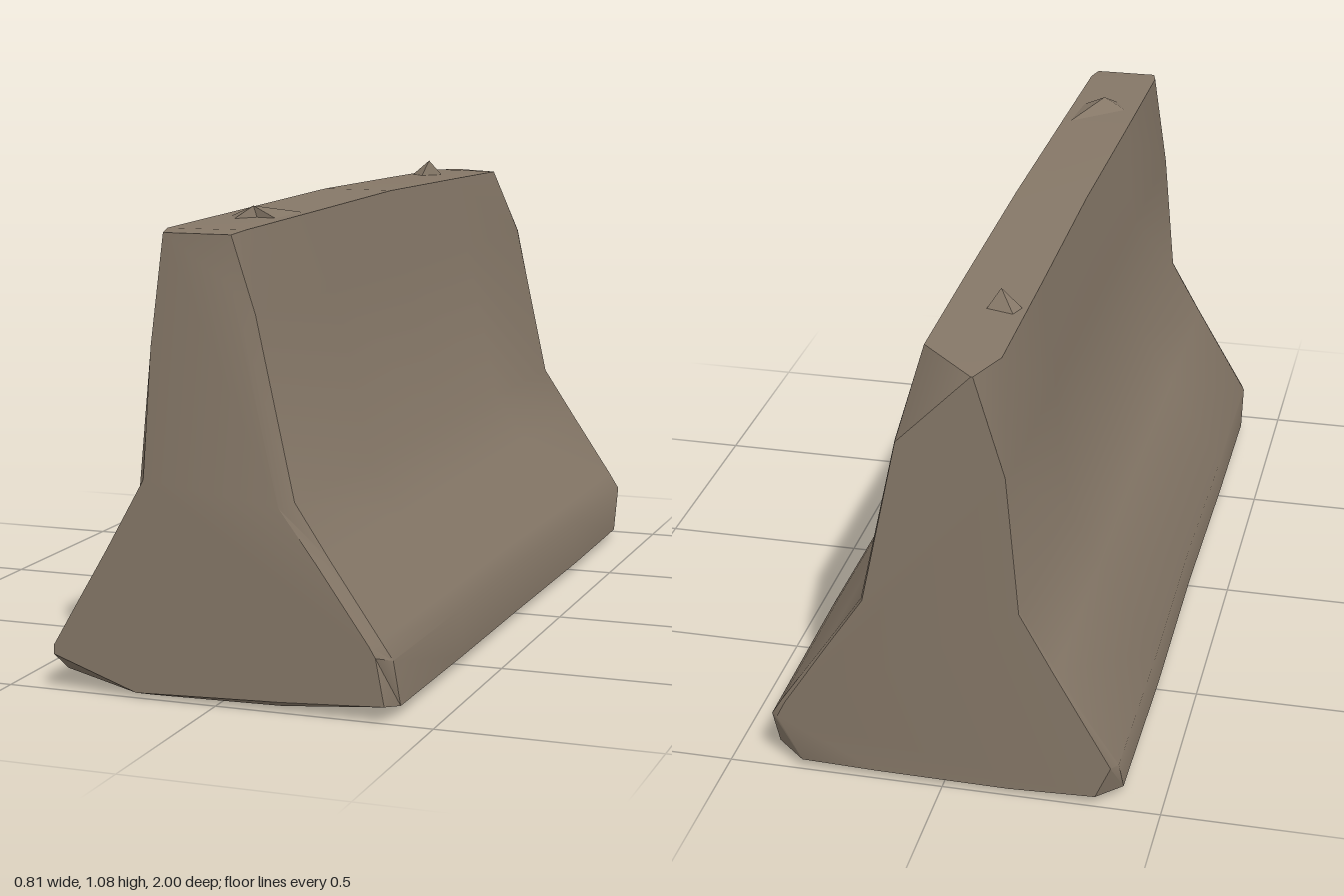
import * as THREE from 'three';
import { toCreasedNormals } from 'three/addons/utils/BufferGeometryUtils.js';

// Outline of the barrier, counter-clockwise seen from the front.
// [x, y, z of front rim, z of back rim, front cap x, y, back cap x, y]
const OUTLINE = [
  [-0.405, 0.02, 0.9, -0.94, -0.39, 0.08, -0.35, 0.02],
  [-0.15, 0.005, 0.985, -0.985, -0.19, 0.01, -0.15, 0.012],
  [0.15, 0.01, 0.985, -0.985, 0.15, 0.022, 0.15, 0.015],
  [0.403, 0.02, 0.93, -0.93, 0.39, 0.035, 0.33, 0.02],
  [0.4, 0.13, 0.97, -0.985, 0.37, 0.14, 0.385, 0.13],
  [0.375, 0.17, 0.975, -0.985, 0.355, 0.165, 0.365, 0.17],
  [0.26, 0.34, 0.98, -0.985, 0.235, 0.335, 0.255, 0.34],
  [0.18, 0.46, 0.98, -0.985, 0.15, 0.45, 0.175, 0.46],
  [0.093, 0.86, 0.98, -0.982, 0.045, 0.92, 0.09, 0.86],
  [0.055, 1.035, 0.94, -0.87, 0.047, 1.03, -0.078, 1.03],
  [-0.122, 1.035, 0.95, -0.9, -0.11, 1.03, -0.082, 1.03],
  [-0.153, 0.79, 0.975, -0.982, -0.143, 0.78, -0.15, 0.8],
  [-0.18, 0.47, 0.985, -0.985, -0.165, 0.49, -0.178, 0.47],
  [-0.26, 0.33, 0.985, -0.985, -0.255, 0.33, -0.255, 0.33],
  [-0.4, 0.1, 0.97, -0.975, -0.39, 0.1, -0.385, 0.1],
];

function createBarrier() {
  // Middle sections swell very slightly along the length
  const middle = (z, rise, swell) =>
    OUTLINE.map(([x, y]) => [x * swell, y > 1 ? y + rise : y - (y < 0.05 ? rise * 0.5 : 0), z]);
  const rings = [
    OUTLINE.map((p) => [p[6], p[7], -0.995]),
    OUTLINE.map((p) => [p[0], p[1], p[3]]),
    middle(-0.5, 0.006, 1.005),
    middle(0, 0.013, 0.99),
    middle(0.5, 0.006, 1),
    OUTLINE.map((p) => [p[0], p[1], p[2]]),
    OUTLINE.map((p) => [p[4], p[5], 1]),
  ];
  const n = OUTLINE.length;
  const pos = [];
  const tri = (a, b, c) => pos.push(...a, ...b, ...c);

  // Long faces and end chamfers
  for (let r = 0; r < rings.length - 1; r++) {
    for (let i = 0; i < n; i++) {
      const j = (i + 1) % n;
      const a = rings[r][i], b = rings[r][j], c = rings[r + 1][j], d = rings[r + 1][i];
      tri(a, b, c);
      tri(a, c, d);
    }
  }

  // End caps
  const cap = (ring, front) => {
    const pts = ring.map(([x, y]) => new THREE.Vector2(x, y));
    for (const [a, b, c] of THREE.ShapeUtils.triangulateShape(pts, [])) {
      if (front) tri(ring[a], ring[b], ring[c]);
      else tri(ring[a], ring[c], ring[b]);
    }
  };
  cap(rings[0], false);
  cap(rings[rings.length - 1], true);

  const geo = new THREE.BufferGeometry();
  geo.setAttribute('position', new THREE.Float32BufferAttribute(pos, 3));
  return toCreasedNormals(geo, 0.65);
}

// Small faceted fragment: a fan from a peak to a loop of points on the top face
function createFragment(peak, loop) {
  const pos = [];
  loop.forEach((p, i) => pos.push(...peak, ...p, ...loop[(i + 1) % loop.length]));
  const geo = new THREE.BufferGeometry();
  geo.setAttribute('position', new THREE.Float32BufferAttribute(pos, 3));
  geo.computeVertexNormals();
  return geo;
}

export function createModel() {
  const group = new THREE.Group();
  group.name = 'concreteBarrier';
  const concrete = new THREE.MeshStandardMaterial({ color: 0x857767 });
  concrete.name = 'weathered concrete';

  const add = (name, geo) => {
    const mesh = new THREE.Mesh(geo, concrete);
    mesh.name = name;
    group.add(mesh);
  };

  add('barrierBody', createBarrier());

  // Broken lifting lugs on the top face
  add('frontLug', createFragment([-0.03, 1.064, 0.69], [
    [-0.1, 1.034, 0.67], [-0.06, 1.036, 0.735], [-0.02, 1.034, 0.69], [0.035, 1.034, 0.7], [0.045, 1.036, 0.53],
  ]));
  add('backLug', createFragment([-0.06, 1.078, -0.64], [
    [-0.115, 1.034, -0.65], [-0.07, 1.034, -0.6], [-0.03, 1.034, -0.67], [-0.1, 1.034, -0.69],
  ]));

  return group;
}
